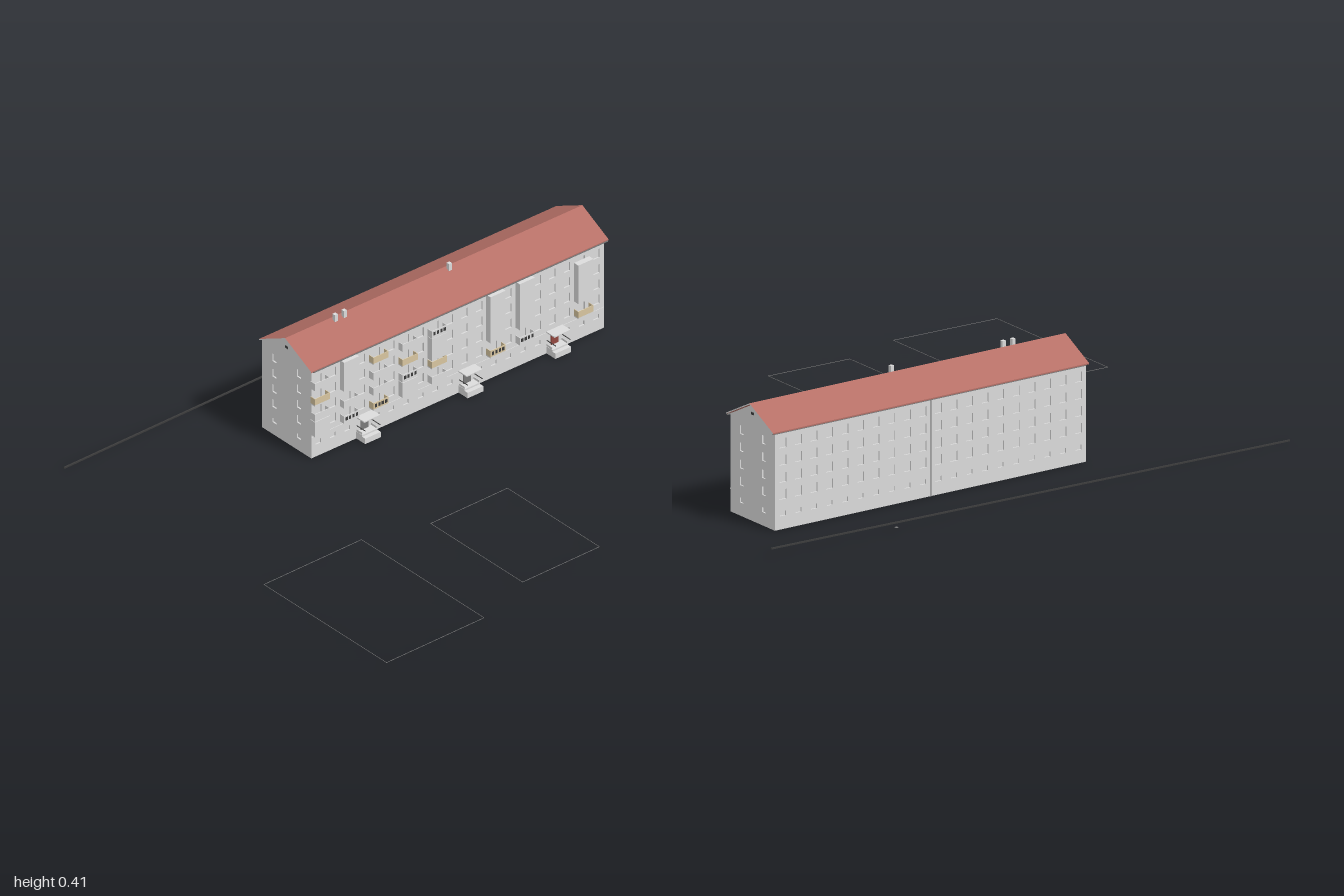
import * as THREE from 'three';
import { mergeGeometries } from 'three/addons/utils/BufferGeometryUtils.js';

const mat = (name, color, side = THREE.FrontSide) => {
  const m = new THREE.MeshStandardMaterial({ color, side });
  m.name = name;
  return m;
};

export function createModel() {
  const wallGrey = mat('wall grey', 0xdcdcdc, THREE.DoubleSide);
  const tan = mat('tan', 0xd8c6a0);
  const roofRed = mat('roof red', 0xb67067);
  const dark = mat('dark grey', 0x3c3c3c);
  const doorGrey = mat('door grey', 0x7a7a7a);
  const doorRed = mat('door red', 0x93483f);

  const model = new THREE.Group();
  model.name = 'apartmentBlock';
  const add = (name, geo, material, parent = model) => {
    const m = new THREE.Mesh(geo, material);
    m.name = name;
    parent.add(m);
    return m;
  };
  // Box given by its limits on each axis
  const box = (name, material, [x0, x1], [y0, y1], [z0, z1], parent) => {
    const m = add(name, new THREE.BoxGeometry(x1 - x0, y1 - y0, z1 - z0), material, parent);
    m.position.set((x0 + x1) / 2, (y0 + y1) / 2, (z0 + z1) / 2);
    return m;
  };

  const X0 = -0.535, X1 = -0.295, XC = -0.415, Z0 = -0.836, Z1 = 0.363;
  const ZC = (Z0 + Z1) / 2, EAVE = 0.325, RIDGE = 0.386;
  const columns = Array.from({ length: 20 }, (_, i) => 0.335 - 0.06 * i);
  const floors = [0.115, 0.171, 0.228, 0.285];
  const entrances = [3, 10, 16];

  // Wall sheet with recessed windows; windows are [u, y, width, height]
  function wall(name, outline, windows, x, z, turn) {
    const shape = new THREE.Shape(outline.map(([u, y]) => new THREE.Vector2(u, y)));
    const recesses = [], depth = 0.005;
    for (const [u, y, w, h] of windows) {
      const hole = new THREE.Path();
      hole.moveTo(u - w / 2, y - h / 2);
      hole.lineTo(u - w / 2, y + h / 2);
      hole.lineTo(u + w / 2, y + h / 2);
      hole.lineTo(u + w / 2, y - h / 2);
      hole.closePath();
      shape.holes.push(hole);
      // Box with its front face left out
      const recess = new THREE.BoxGeometry(w, h, depth).translate(u, y, -depth / 2);
      const index = Array.from(recess.index.array);
      index.splice(24, 6);
      recess.setIndex(index);
      recesses.push(recess);
    }
    const g = new THREE.Group();
    g.name = name;
    g.position.set(x, 0, z);
    g.rotation.y = turn;
    add('wallSheet', new THREE.ShapeGeometry(shape), wallGrey, g);
    add('windowRecesses', mergeGeometries(recesses), wallGrey, g);
    model.add(g);
  }

  const half = (Z1 - Z0) / 2, hw = (X1 - X0) / 2;
  const long = [[-half, 0], [half, 0], [half, EAVE], [-half, EAVE]];
  const gable = [[-hw, 0], [hw, 0], [hw, EAVE], [0, RIDGE], [-hw, EAVE]];
  // Window grid along a long wall; sign turns z into the wall's own u
  const grid = (sign, skip) => columns.flatMap((z, i) => {
    const u = sign * (z - ZC);
    const list = floors.map(y => [u, y, 0.026, 0.032]);
    if (!skip.includes(i)) list.push([u, 0.052, 0.022, 0.016]);
    return list;
  });
  const gableWindows = [-0.06, 0.06].flatMap(u =>
    [0.052, ...floors].map(y => [u, y, 0.02, y < 0.1 ? 0.016 : 0.028]));
  wall('balconyWall', long, grid(-1, entrances), X1, ZC, Math.PI / 2);
  wall('plainWall', long, grid(1, []), X0, ZC, -Math.PI / 2);
  wall('frontGable', gable, gableWindows, XC, Z1, 0);
  wall('backGable', gable, gableWindows, XC, Z0, Math.PI);
  box('frontVent', dark, [XC - 0.007, XC + 0.007], [0.352, 0.36], [Z1, Z1 + 0.002]);
  box('backVent', dark, [XC - 0.007, XC + 0.007], [0.352, 0.36], [Z0 - 0.002, Z0]);

  // Roof: thin chevron swept along the ridge, with grey verges at both ends
  const chevron = new THREE.Shape([
    [-0.128, 0.323], [0, 0.388], [0.128, 0.323], [0.128, 0.327], [0, 0.392], [-0.128, 0.327],
  ].map(([x, y]) => new THREE.Vector2(x, y)));
  add('roof', new THREE.ExtrudeGeometry(chevron, { depth: 1.219, bevelEnabled: false }),
    [wallGrey, roofRed]).position.set(XC, 0, -0.849);
  for (const x of [X0 - 0.004, X1 + 0.006])
    box('gutter', doorGrey, [x - 0.003, x + 0.003], [0.32, 0.324], [-0.846, 0.36]);
  for (const z of [0.175, 0.138, -0.293])
    box('chimney', wallGrey, [-0.409, -0.397], [0.375, 0.409], [z - 0.006, z + 0.006]);

  // Joint pipe on the plain side, string course on the balcony side
  add('drainpipe', new THREE.CylinderGeometry(0.002, 0.002, 0.32, 6), doorGrey)
    .position.set(X0 - 0.001, 0.16, -0.235);
  box('stringCourse', wallGrey, [X1, X1 + 0.002], [0.074, 0.078], [Z0, Z1]);

  // Open balcony: slab, front panel and two cheeks
  function balcony(z, y, material, railed) {
    const g = new THREE.Group();
    g.name = 'balcony';
    model.add(g);
    const out = -0.274, a = z - 0.031, b = z + 0.031, h = 0.027;
    box('slab', wallGrey, [X1, out], [y, y + 0.004], [a, b], g);
    box('frontPanel', material, [out - 0.002, out], [y + 0.004, y + h], [a, b], g);
    for (const s of [a, b - 0.002])
      box('sidePanel', material, [X1, out - 0.002], [y + 0.004, y + h], [s, s + 0.002], g);
    if (railed) for (let i = 0; i < 4; i++)
      box('railGap', dark, [out, out + 0.001], [y + 0.01, y + h - 0.005],
        [a + 0.006 + i * 0.014, a + 0.014 + i * 0.014], g);
  }
  // Per column: code for each floor upward (g grey, t tan, r railed grey, T railed tan),
  // then the height span of its enclosed bay
  const stacks = [
    [0, ' gtg', [0.09, 0.145]],
    [2, 'rg  ', [0.21, 0.318]],
    [4, 'Tggt', null],
    [6, ' rtg', [0.09, 0.145]],
    [8, 'gt r', [0.178, 0.26]],
    [12, 'T   ', [0.147, 0.318]],
    [14, 'r   ', [0.147, 0.318]],
    [18, 't   ', [0.147, 0.29]],
  ];
  for (const [i, codes, span] of stacks) {
    const z = columns[i];
    [...codes].forEach((c, f) => {
      if (c !== ' ') balcony(z, floors[f] - 0.024, 'tT'.includes(c) ? tan : wallGrey, 'rT'.includes(c));
    });
    if (span) box('enclosedBalcony', wallGrey, [X1, -0.274], span, [z - 0.031, z + 0.031]);
  }

  // Entrances: steps between low cheeks, door, handrails and canopy
  entrances.forEach((i, n) => {
    const z = columns[i] - 0.008, g = new THREE.Group();
    g.name = 'entrance';
    model.add(g);
    box('landing', wallGrey, [X1, -0.266], [0, 0.026], [z - 0.032, z + 0.032], g);
    box('step', wallGrey, [-0.266, -0.251], [0, 0.02], [z - 0.032, z + 0.032], g);
    box('door', n === 2 ? doorRed : doorGrey, [X1, X1 + 0.004], [0.026, 0.072],
      [z - 0.015, z + 0.015], g);
    box('canopy', wallGrey, [X1, -0.255], [0.077, 0.081], [z - 0.033, z + 0.033], g);
    for (const s of [z - 0.031, z + 0.029]) {
      box('cheek', wallGrey, [X1, -0.268], [0.026, 0.034], [s, s + 0.002], g);
      box('handrail', dark, [X1, -0.252], [0.046, 0.048], [s, s + 0.002], g);
    }
  });

  // Thin ground lines following the gentle slope of the site
  const ground = z => 0.017 - 0.0115 * z;
  function line(name, material, width, x0, z0, x1, z1) {
    const a = new THREE.Vector3(x0, ground(z0), z0), b = new THREE.Vector3(x1, ground(z1), z1);
    const m = add(name, new THREE.BoxGeometry(width, width, a.distanceTo(b)), material);
    m.position.copy(a).add(b).multiplyScalar(0.5);
    m.lookAt(b);
  }
  line('boundaryLine', dark, 0.005, -0.745, -1, -0.745, 1);
  for (const [x0, x1, z0, z1] of [[0.185, 0.785, 0.56, 0.96], [0.255, 0.705, 0.02, 0.335]]) {
    const edge = (...ends) => line('plotEdge', doorGrey, 0.0012, ...ends);
    edge(x0, z0, x1, z0);
    edge(x0, z1, x1, z1);
    edge(x0, z0, x0, z1);
    edge(x1, z0, x1, z1);
  }
  add('marker', new THREE.CylinderGeometry(0.006, 0.006, 0.001, 12), doorGrey)
    .position.set(-0.785, 0.023, -0.545);

  return model;
}
